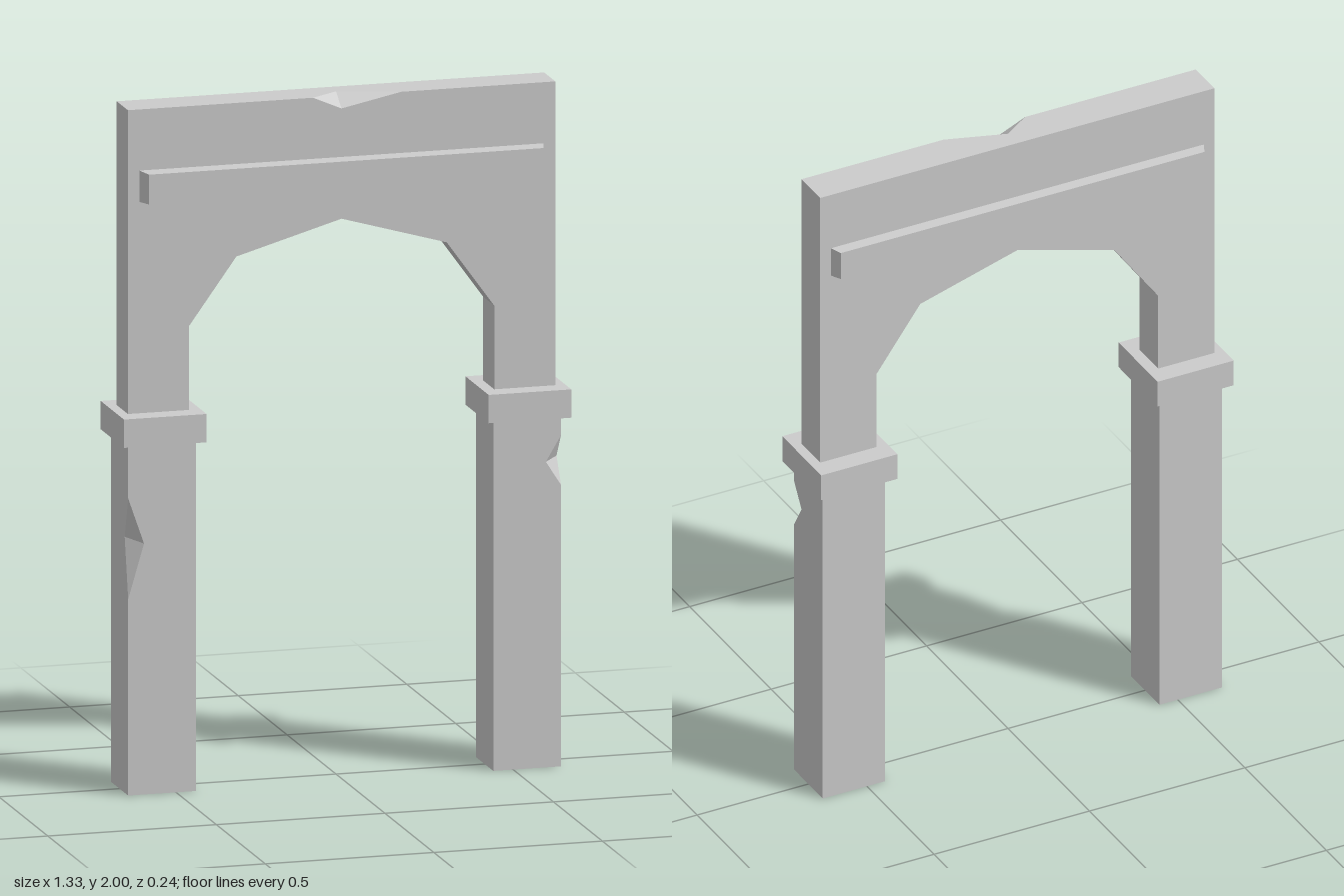
import * as THREE from 'three';

const material = new THREE.MeshStandardMaterial({ color: 0xcccccc, flatShading: true });

// Triangulates flat polygons (counter-clockwise from outside) into one geometry.
function facets(polygons) {
  const positions = [];
  for (const polygon of polygons) {
    const pts = polygon.map((p) => new THREE.Vector3(...p));
    const normal = new THREE.Vector3();
    pts.forEach((p, i) => normal.add(p.clone().cross(pts[(i + 1) % pts.length])));
    const [ax, ay, az] = normal.toArray().map(Math.abs);
    const flat = pts.map((p) =>
      ax >= ay && ax >= az ? new THREE.Vector2(p.y, p.z)
        : ay >= az ? new THREE.Vector2(p.z, p.x) : new THREE.Vector2(p.x, p.y));
    for (const [a, b, c] of THREE.ShapeUtils.triangulateShape(flat, [])) {
      const n = pts[b].clone().sub(pts[a]).cross(pts[c].clone().sub(pts[a]));
      const order = n.dot(normal) > 0 ? [a, b, c] : [a, c, b];
      order.forEach((i) => positions.push(...pts[i].toArray()));
    }
  }
  const geometry = new THREE.BufferGeometry();
  geometry.setAttribute('position', new THREE.Float32BufferAttribute(positions, 3));
  geometry.computeVertexNormals();
  return geometry;
}

function addMesh(parent, name, geometry) {
  const mesh = new THREE.Mesh(geometry, material);
  mesh.name = name;
  parent.add(mesh);
  return mesh;
}

// Square pillar with a wedge knocked out of its outer front edge.
function pillarGeometry(side, chip) {
  const xi = 0.441, xo = 0.642, d = 0.088, h = 1.03;
  const top = [xo, chip.top, d], bottom = [xo, chip.bottom, d];
  const inFront = [chip.frontX, chip.frontY, d], inSide = [xo, chip.sideY, chip.sideZ];
  const faces = [
    [[xi, 0, d], [xo, 0, d], bottom, inFront, top, [xo, h, d], [xi, h, d]],
    [[xo, 0, d], [xo, 0, -d], [xo, h, -d], [xo, h, d], top, inSide, bottom],
    [[xo, 0, -d], [xi, 0, -d], [xi, h, -d], [xo, h, -d]],
    [[xi, 0, -d], [xi, 0, d], [xi, h, d], [xi, h, -d]],
    [[xi, h, d], [xo, h, d], [xo, h, -d], [xi, h, -d]],
    [[xi, 0, -d], [xo, 0, -d], [xo, 0, d], [xi, 0, d]],
    [top, inFront, inSide],
    [inFront, bottom, inSide],
  ];
  if (side > 0) return facets(faces);
  return facets(faces.map((f) => f.map(([x, y, z]) => [-x, y, z]).reverse()));
}

// Wall with a faceted arch below and a chip in its top front edge.
function wallGeometry() {
  const w = 0.634, d = 0.057, base = 1.11, h = 2;
  const outline = [
    [-w, h], [-w, base], [-0.453, base], [-0.453, 1.355], [-0.312, 1.55], [0, 1.64],
    [0.312, 1.55], [0.453, 1.355], [0.453, base], [w, base], [w, h],
  ];
  const chipL = [-0.085, h, d], chipR = [0.177, h, d];
  const chipLow = [0, 1.963, d], chipIn = [0, h, 0];
  const front = outline.map(([x, y]) => [x, y, d]);
  const back = outline.map(([x, y]) => [x, y, -d]);
  const n = outline.length;
  const faces = [
    [...front, chipR, chipLow, chipL],
    [...back].reverse(),
    [front[0], chipL, chipIn, chipR, front[n - 1], back[n - 1], back[0]],
    [chipL, chipLow, chipIn],
    [chipLow, chipR, chipIn],
  ];
  for (let i = 0; i < n - 1; i++) faces.push([front[i], back[i], back[i + 1], front[i + 1]]);
  return facets(faces);
}

// Long moulding that narrows slightly away from the wall.
function trimGeometry(depth) {
  const geometry = new THREE.BoxGeometry(1.2, 0.092, depth);
  const p = geometry.attributes.position;
  for (let i = 0; i < p.count; i++) {
    if (p.getZ(i) > 0) p.setXY(i, p.getX(i) * 0.975, p.getY(i) * 0.95);
  }
  geometry.computeVertexNormals();
  return geometry;
}

export function createModel() {
  const model = new THREE.Group();
  model.name = 'archway';

  // Pillars and their capitals
  const chips = {
    left: { top: 0.97, bottom: 0.825, frontX: 0.597, frontY: 0.895, sideY: 0.9, sideZ: 0.042 },
    right: { top: 0.87, bottom: 0.575, frontX: 0.595, frontY: 0.735, sideY: 0.75, sideZ: 0.052 },
  };
  for (const [name, side] of [['left', 1], ['right', -1]]) {
    addMesh(model, `${name}Pillar`, pillarGeometry(side, chips[name]));
    const capital = addMesh(model, `${name}Capital`, new THREE.BoxGeometry(0.245, 0.083, 0.238));
    capital.position.set(side * 0.541, 1.0685, 0);
  }

  // Arched wall
  addMesh(model, 'archWall', wallGeometry());

  // Mouldings on both faces of the wall
  const frontTrim = addMesh(model, 'frontTrim', trimGeometry(0.048));
  frontTrim.position.set(0, 1.775, 0.08);
  const backTrim = addMesh(model, 'backTrim', trimGeometry(0.034));
  backTrim.position.set(0, 1.775, -0.073);
  backTrim.rotation.y = Math.PI;

  return model;
}
